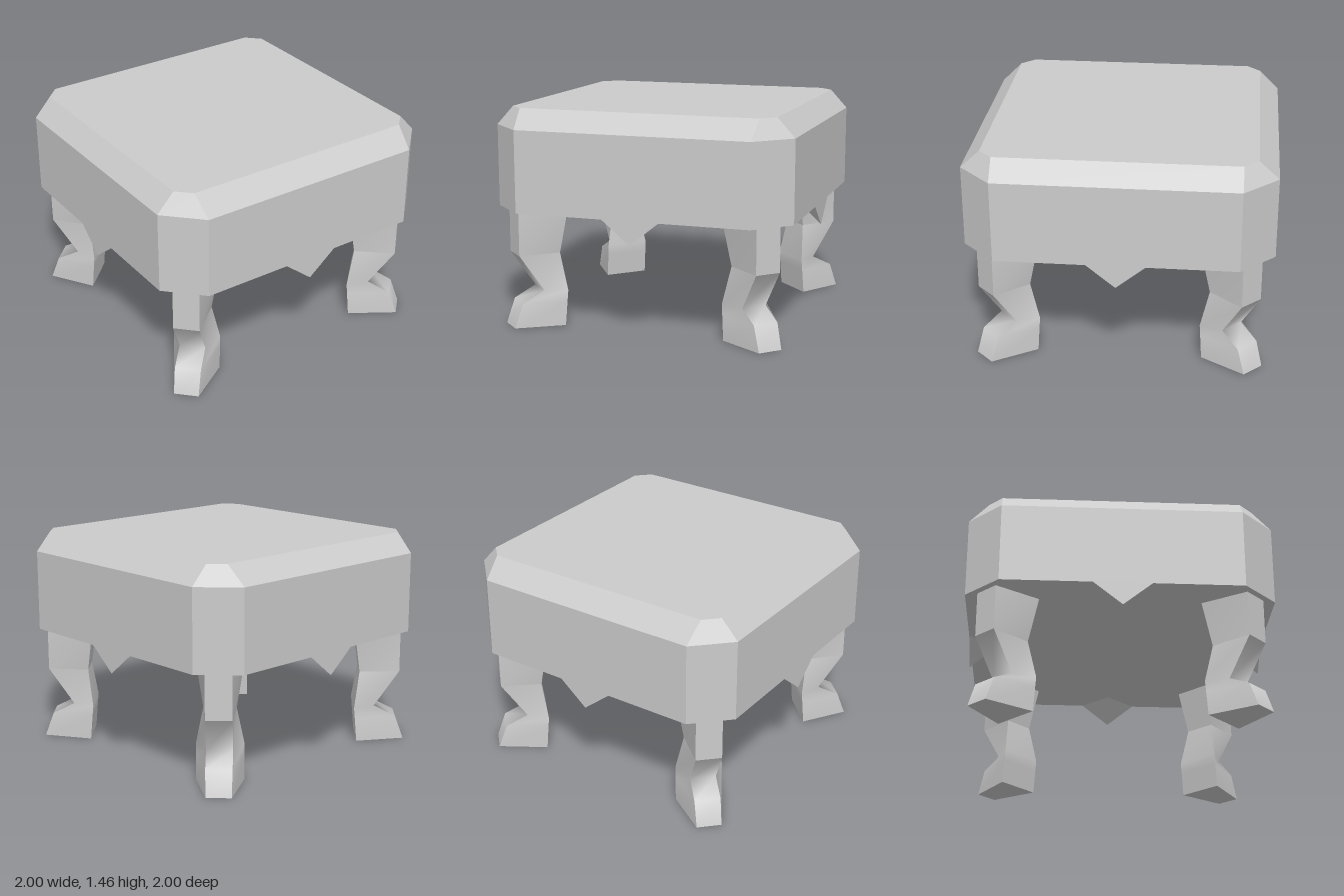
import * as THREE from 'three';
import { ConvexGeometry } from 'three/addons/geometries/ConvexGeometry.js';

const grey = new THREE.MeshStandardMaterial({ color: 0xcccccc });

// Joins rings of [x, z] points, listed bottom to top; each side is its own strip,
// smooth along its height and sharp against its neighbours.
function loft(rings, { capBottom = false, capTop = false, flat = false } = {}) {
  const pos = [], index = [];
  const n = rings[0].points.length;
  const add = (ring, i) => pos.push(ring.points[i % n][0], ring.y, ring.points[i % n][1]);
  for (let i = 0; i < n; i++) {
    const start = pos.length / 3;
    for (const ring of rings) { add(ring, i); add(ring, i + 1); }
    for (let k = 0; k < rings.length - 1; k++) {
      const a = start + k * 2;
      index.push(a, a + 1, a + 3, a, a + 3, a + 2);
    }
  }
  const cap = (ring, up) => {
    const start = pos.length / 3;
    for (let i = 0; i < n; i++) add(ring, i);
    for (let i = 1; i < n - 1; i++) {
      if (up) index.push(start, start + i, start + i + 1);
      else index.push(start, start + i + 1, start + i);
    }
  };
  if (capBottom) cap(rings[0], false);
  if (capTop) cap(rings[rings.length - 1], true);
  let geo = new THREE.BufferGeometry();
  geo.setAttribute('position', new THREE.Float32BufferAttribute(pos, 3));
  geo.setIndex(index);
  if (flat) geo = geo.toNonIndexed();
  geo.computeVertexNormals();
  return geo;
}

function addMesh(parent, name, geo) {
  const mesh = new THREE.Mesh(geo, grey);
  mesh.name = name;
  parent.add(mesh);
  return mesh;
}

// Square with cut corners: X, Z are half sizes, cx, cz where the cuts begin
const octagon = (y, X, Z, cx, cz) => ({
  y,
  points: [[cx, Z], [X, cz], [X, -cz], [cx, -Z], [-cx, -Z], [-X, -cz], [-X, cz], [-cx, Z]],
});

// Leg section: half width and distance from the centre, for outer and inner face
const legRing = (y, wOut, rOut, wIn, rIn) => ({
  y,
  points: [[wOut, rOut], [wIn, rIn], [-wIn, rIn], [-wOut, rOut]],
});

export function createModel() {
  const model = new THREE.Group();
  model.name = 'footstool';

  // Padded seat with bevelled top edge
  addMesh(model, 'seat', loft([
    octagon(0.79, 1, 1, 0.78, 0.78),
    octagon(1.33, 1, 1, 0.78, 0.78),
    octagon(1.455, 0.885, 0.87, 0.795, 0.78),
  ], { capBottom: true, capTop: true, flat: true }));

  // Pointed pendant under the middle of each side
  const pendant = new ConvexGeometry([
    new THREE.Vector3(-0.19, 0.79, 1),
    new THREE.Vector3(0.19, 0.79, 1),
    new THREE.Vector3(0, 0.635, 1),
    new THREE.Vector3(0, 0.79, 0.83),
  ]);

  // Curved leg: straight upper part, then ankle and flared foot
  const knee = legRing(0.487, 0.085, 1.216, 0.106, 0.94);
  const upper = loft([knee, legRing(0.79, 0.085, 1.216, 0.155, 0.898)], { capTop: true });
  const lower = loft([
    legRing(0, 0.081, 1.255, 0.155, 0.926),
    legRing(0.163, 0.085, 1.195, 0.155, 0.912),
    legRing(0.237, 0.085, 1.047, 0.155, 0.905),
    knee,
  ], { capBottom: true });

  for (let i = 0; i < 4; i++) {
    const turn = i * Math.PI / 2;
    addMesh(model, 'pendant', pendant).rotation.y = turn;
    const leg = new THREE.Group();
    leg.name = 'leg';
    addMesh(leg, 'upperLeg', upper);
    addMesh(leg, 'foot', lower);
    leg.rotation.y = turn + Math.PI / 4;
    model.add(leg);
  }
  return model;
}
